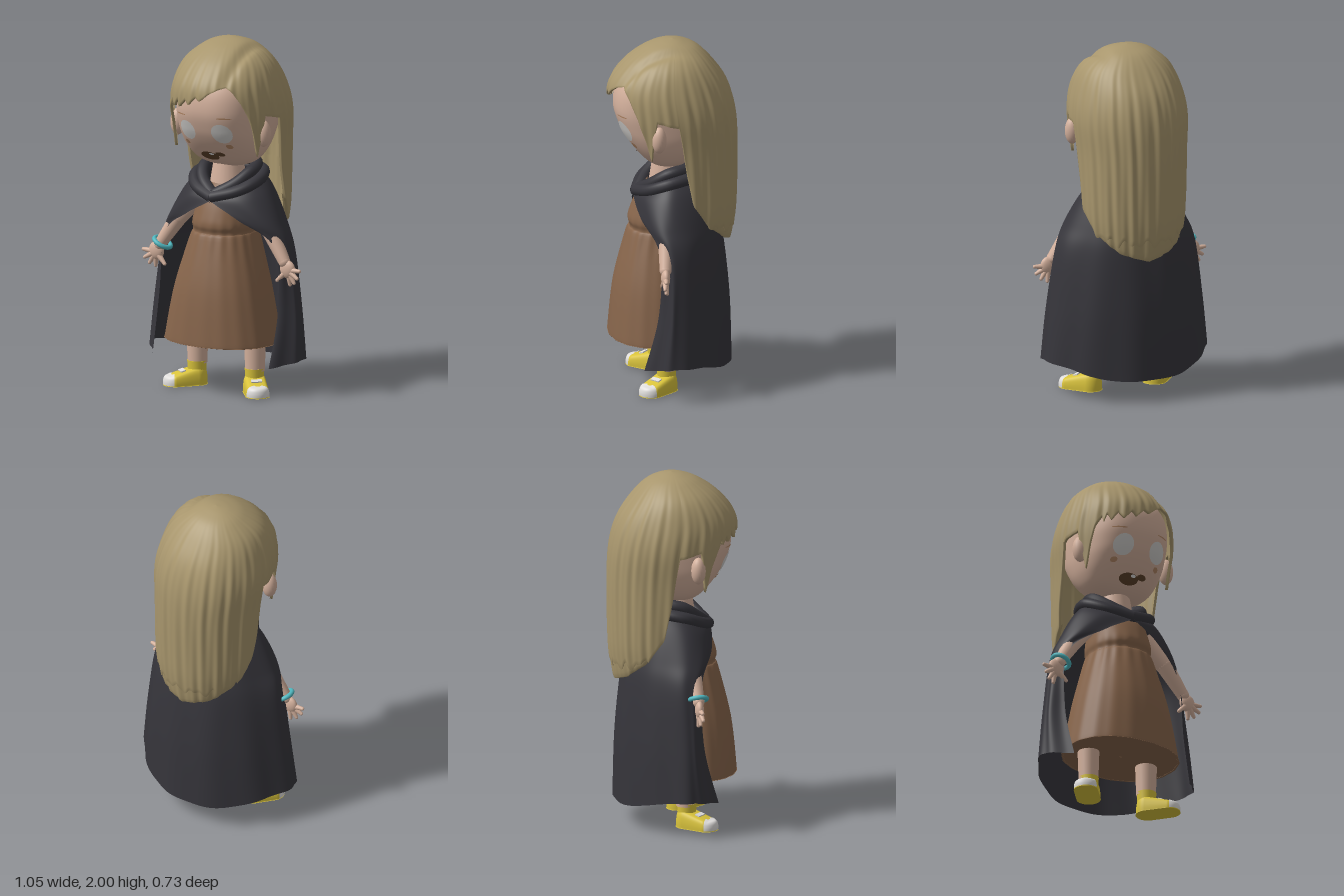
import * as THREE from 'three';

const mat = (name, color, double) => {
  const m = new THREE.MeshStandardMaterial({ color });
  m.name = name;
  if (double) m.side = THREE.DoubleSide;
  return m;
};

// Catmull-Rom interpolation between rows of numbers, t in 0..1
function cr(rows, t) {
  const n = rows.length - 1, p = Math.min(Math.max(t, 0), 1) * n;
  const i = Math.min(Math.floor(p), n - 1), f = p - i;
  const r = k => rows[Math.min(Math.max(i + k, 0), n)];
  const [a, b, c, d] = [r(-1), r(0), r(1), r(2)];
  return b.map((_, k) => b[k] + 0.5 * f * (c[k] - a[k] + f * (2 * a[k] - 5 * b[k] + 4 * c[k] - d[k] + f * (3 * (b[k] - c[k]) + d[k] - a[k]))));
}

// t at which rows (falling in y) reach height y
function tAt(rows, y) {
  let lo = 0, hi = 1;
  for (let i = 0; i < 24; i++) {
    const m = (lo + hi) / 2;
    if (cr(rows, m)[0] > y) lo = m; else hi = m;
  }
  return lo;
}

// Straight interpolation in a list of [key, value]
function keyed(keys, x) {
  const i = Math.max(1, keys.findIndex(k => k[0] >= x));
  const [a, b] = [keys[i - 1], keys[i]];
  return a[1] + (b[1] - a[1]) * (x - a[0]) / (b[0] - a[0]);
}

// Smooth surface: u runs to the right seen from outside, v runs down
function grid(nu, nv, closed, fn) {
  const pos = [], idx = [], cols = closed ? nu : nu + 1;
  for (let j = 0; j <= nv; j++) for (let i = 0; i < cols; i++) pos.push(...fn(i / nu, j / nv));
  for (let j = 0; j < nv; j++) for (let i = 0; i < nu; i++) {
    const k = (i + 1) % cols, a = j * cols + i, b = j * cols + k;
    idx.push(a, a + cols, b, b, a + cols, b + cols);
  }
  const g = new THREE.BufferGeometry();
  g.setAttribute('position', new THREE.Float32BufferAttribute(pos, 3));
  g.setIndex(idx);
  g.computeVertexNormals();
  return g;
}

// Point on an oval row [y, half width, front z, back z]; n > 2 is squarer
function oval([y, rx, zf, zb], th, n = 2, k = 1) {
  const pw = v => Math.sign(v) * Math.abs(v) ** (2 / n);
  return [rx * k * pw(Math.sin(th)), y, (zf + zb) / 2 + (zf - zb) / 2 * k * pw(Math.cos(th))];
}

const HEAD = [[1.93, .01, .03, -.01], [1.91, .12, .13, -.1], [1.84, .2, .24, -.2], [1.74, .25, .31, -.26],
  [1.62, .26, .33, -.27], [1.52, .256, .305, -.25], [1.45, .247, .27, -.21], [1.38, .225, .22, -.16],
  [1.32, .185, .165, -.1], [1.285, .12, .11, -.05], [1.27, .01, .05, .03]];
const HAIR = [[1.997, 0, 0, 0], [1.985, .08, .07, -.06], [1.95, .16, .16, -.14], [1.87, .25, .27, -.22],
  [1.75, .302, .355, -.3], [1.6, .326, .36, -.345], [1.4, .315, .34, -.36], [1.1, .305, .3, -.355],
  [.95, .29, .3, -.345], [.78, .26, .3, -.32]];
const DRESS = [[1.18, .1, .14, -.08], [1.1, .15, .2, -.12], [1, .17, .24, -.13], [.95, .176, .25, -.13],
  [.91, .172, .24, -.12], [.87, .188, .26, -.13], [.6, .27, .328, -.16], [.32, .328, .358, -.18],
  [.29, .325, .354, -.178], [.292, .31, .34, -.165], [.3, .01, .095, .085]];
// Lower edge of the hair: side and back, then the swept fringe
const SIDE = [[57, 1.5], [61, 1.36], [66, 1.5], [70, 1.6], [90, 1.57], [93, 1.3], [98, 1.1], [115, .97], [140, .93], [180, .92]];
const FRINGE = [[-52, 1.6], [-46, 1.66], [-44, 1.62], [-41, 1.67], [-36, 1.63], [-30, 1.68], [-24, 1.64], [-16, 1.69],
  [-11, 1.66], [-2, 1.71], [3, 1.69], [12, 1.73], [22, 1.76], [31, 1.785], [38, 1.75], [46, 1.68], [52, 1.6]];
const HAIR_EDGE = [...SIDE.map(([a, y]) => [-a, y]).reverse(), ...FRINGE, ...SIDE];
const TUFT = [[100, 1.1], [118, .95], [145, .86], [180, .81]];
// Cape half-rings, centre back to front edge, from neck to hem
const CAPE = [
  [0, 1.27, -.14, .09, 1.27, -.11, .14, 1.26, -.03, .15, 1.24, .05, .1, 1.18, .13, 0, 1.12, .19],
  [0, 1.15, -.2, .13, 1.15, -.18, .22, 1.15, -.08, .26, 1.13, .06, .18, 1.1, .17, .01, 1.09, .22],
  [0, .98, -.25, .17, .98, -.22, .29, .98, -.11, .35, .98, .04, .31, .97, .14, .17, 1, .2],
  [0, .82, -.28, .19, .82, -.25, .33, .82, -.13, .41, .83, .01, .4, .83, .08, .36, .85, .12],
  [0, .5, -.313, .21, .5, -.27, .37, .5, -.14, .46, .5, .02, .45, .5, .08, .39, .5, .13],
  [0, .13, -.325, .23, .14, -.268, .405, .19, -.125, .49, .21, .03, .46, .2, .12, .38, .18, .21]];

function capePoint(u, v) {
  const f = cr(CAPE, v), half = [];
  for (let i = 0; i < 18; i += 3) half.push([-f[i], f[i + 1], f[i + 2]]);
  const ring = [...half.slice(1).reverse().map(([x, y, z]) => [-x, y, z]), ...half];
  const p = cr(ring, u), k = 1 + .012 * v * Math.sin(u * 58);
  return [p[0] * k, p[1], p[2] * k];
}

export function createModel() {
  const model = new THREE.Group();
  const skin = mat('skin', 0xd3b09c), hair = mat('hair', 0xa8966d, true), cloak = mat('cloak', 0x36353b, true);
  const brown = mat('dress brown', 0x87654b, true), yellow = mat('shoe yellow', 0xdac43c), white = mat('white', 0xe0dedc);
  const teal = mat('bracelet teal', 0x50b7bf), grey = mat('eye grey', 0xcfcdca), dark = mat('mouth brown', 0x5c4129);
  const freckle = mat('freckle tan', 0xb38765);

  const add = (name, geo, m, p = [0, 0, 0], parent = model) => {
    const mesh = new THREE.Mesh(geo, m);
    mesh.name = name;
    mesh.position.set(...p);
    parent.add(mesh);
    return mesh;
  };
  const ball = (name, m, p, s) => add(name, new THREE.SphereGeometry(1, 24, 16), m, p).scale.set(...s);
  // Tapered limb with rounded ends
  const limb = (name, m, a, b, ra, rb) => {
    const A = new THREE.Vector3(...a), d = new THREE.Vector3(...b).sub(A);
    const c = add(name, new THREE.CylinderGeometry(rb, ra, d.length(), 18), m, A.clone().addScaledVector(d, .5).toArray());
    c.quaternion.setFromUnitVectors(new THREE.Vector3(0, 1, 0), d.normalize());
    ball(name + 'End', m, b, [rb, rb, rb]);
  };

  // Head, neck and ears
  add('head', grid(64, 48, true, (u, v) => oval(cr(HEAD, v), u * Math.PI * 2, 2.5)), skin);
  add('neck', new THREE.CylinderGeometry(.075, .11, .22, 24), skin, [0, 1.24, .03]);
  for (const s of [-1, 1]) ball('ear', skin, [.283 * s, 1.495, .113], [.042, .076, .041]);

  // Face details laid on the curve of the head
  const decal = (name, m, cx, cy, rx, ry, lift = .005) => {
    const g = new THREE.RingGeometry(0, 1, 28, 5), p = g.attributes.position;
    for (let i = 0; i < p.count; i++) {
      const x = cx + p.getX(i) * rx, y = cy + p.getY(i) * ry;
      const [, w, zf, zb] = cr(HEAD, tAt(HEAD, y));
      p.setXYZ(i, x, y, (zf + zb) / 2 + (zf - zb) / 2 * (1 - Math.abs(x / w) ** 2.5) ** .4 + lift);
    }
    g.computeVertexNormals();
    add(name, g, m);
  };
  for (const s of [-1, 1]) {
    decal('eye', grey, .005 + .11 * s, 1.503, .057, .058);
    decal('brow', freckle, .14 * s, 1.595, .04, .004);
    decal('freckle', freckle, .137 * s, 1.423, .018, .014);
  }
  decal('mouth', dark, -.015, 1.347, .06, .027);
  decal('mouthCorner', dark, .06, 1.366, .03, .014);
  decal('tooth', white, .005, 1.362, .016, .007, .008);

  // Hair: crown, fringe, side locks and long back, with edges turned in
  const hairPoint = (th, t, k = 1) => {
    const row = cr(HAIR, t), ripple = Math.min(1, t * t * 4);
    const wave = .01 * Math.sin(th * 24 + row[0] * 3) + .006 * Math.sin(th * 41);
    const p = oval(row, th, Math.cos(th) < 0 ? 2.15 : 2, k * (1 + ripple * wave));
    const front = THREE.MathUtils.smoothstep(p[2], -.15, .1) * THREE.MathUtils.smoothstep(p[1], 1.7, 1.85);
    p[1] -= .02 * front * Math.exp(-(((p[0] - .15) / .03) ** 2)); // parting
    return p;
  };
  add('hair', grid(288, 50, true, (u, v) => {
    const deg = u * 360 - 180, th = deg * Math.PI / 180, inn = Math.max(0, (v - .94) / .06);
    const jag = Math.abs(deg) > 115 ? .014 * (Math.sin(th * 17) + Math.sin(th * 27)) : 0;
    return hairPoint(th, Math.min(1, v / .94) * tAt(HAIR, keyed(HAIR_EDGE, deg) + jag), 1 - .05 * inn);
  }), hair);
  // Lower layer of the back hair, turned in at the tips
  add('backHairTips', grid(90, 18, false, (u, v) => {
    const deg = 100 + 160 * u, a = deg > 180 ? 360 - deg : deg;
    const t0 = tAt(HAIR, 1.25), t1 = tAt(HAIR, keyed(TUFT, a));
    const inn = Math.max(0, (v - .75) / .25);
    const p = hairPoint(deg * Math.PI / 180, t0 + (t1 - t0) * Math.min(1, v / .85), .985 - .08 * inn * inn);
    p[1] += .015 * inn * inn;
    return p;
  }), hair);

  // Dress with gathered waist and soft pleats
  add('dress', grid(120, 60, true, (u, v) => {
    const th = u * Math.PI * 2, row = cr(DRESS, v);
    const gather = Math.exp(-(((row[0] - .89) / .09) ** 2));
    const hang = THREE.MathUtils.smoothstep(.95 - row[0], 0, .15);
    return oval(row, th, 2.2, 1 + (.012 * gather + .005 * hang) * Math.sin(th * 18));
  }), brown);

  // Cape and rolled collar
  add('cape', grid(110, 50, false, capePoint), cloak);
  for (const [v, r] of [[0, .034], [.1, .034]]) {
    const pts = Array.from({ length: 25 }, (_, i) => {
      const [x, y, z] = capePoint(i / 24, v);
      return new THREE.Vector3(x, y + .004, z);
    });
    add('collarRoll', new THREE.TubeGeometry(new THREE.CatmullRomCurve3(pts), 72, r, 12), cloak);
  }
  ball('collarKnot', cloak, [0, 1.12, .2], [.035, .035, .03]);

  for (const s of [-1, 1]) {
    // Arm and spread hand
    limb('upperArm', skin, [.18 * s, 1.08, .04], [.3 * s, .94, .075], .055, .049);
    limb('forearm', skin, [.3 * s, .94, .075], [.41 * s, .775, .095], .049, .034);
    ball('palm', skin, [.433 * s, .735, .098], [.048, .052, .025]);
    for (const [x, y, z] of [[.515, .734, .105], [.503, .691, .11], [.477, .661, .1], [.444, .647, .09], [.372, .667, .11]])
      limb('finger', skin, [.435 * s, .73, .098], [x * s, y, z], .02, .01);

    // Leg and sock
    add('leg', new THREE.CylinderGeometry(.065, .055, .3, 24), skin, [.19 * s, .27, .055]);
    add('sock', new THREE.CylinderGeometry(.055, .05, .09, 24), yellow, [.19 * s, .09, .06]);

    // Shoe turned outward, with a toe cap laid over the tip
    const shoe = new THREE.Group();
    shoe.name = 'shoe';
    shoe.position.set(.195 * s, 0, .065);
    shoe.rotation.y = s * 40 * Math.PI / 180;
    model.add(shoe);
    const SHOE = [[0, 1], [.65, .97], [.9, .78], [1, .4], [1, .02], [.97, 0], [0, 0]];
    const shoePoint = (th, v) => {
      const [k, h] = cr(SHOE, v), c = Math.cos(th);
      const z = .065 * k * c + (c > 1e-6 ? .12 : 0);
      return [.065 * k * Math.sin(th), Math.max(0, h) * (.1 - .3 * Math.min(.15, Math.max(0, z))), z];
    };
    add('shoeUpper', grid(48, 24, true, (u, v) => shoePoint(u * Math.PI * 2, v)), yellow, [0, 0, 0], shoe);
    add('toeCap', grid(24, 20, false, (u, v) => {
      const [x, y, z] = shoePoint((u - .5) * 2.5, .08 + v * .58);
      return [x * 1.03, y + .003, z + .003];
    }), white, [0, 0, 0], shoe);
    const lace = add('lace', new THREE.BoxGeometry(.06, .009, .028), white, [0, .078, .08], shoe);
    lace.rotation.x = .29;
  }

  // Bracelet on the right wrist
  const bracelet = add('bracelet', new THREE.TorusGeometry(.05, .013, 12, 36), teal, [-.397, .785, .093]);
  bracelet.quaternion.setFromUnitVectors(new THREE.Vector3(0, 0, 1), new THREE.Vector3(-.48, -.87, .05).normalize());

  return model;
}
